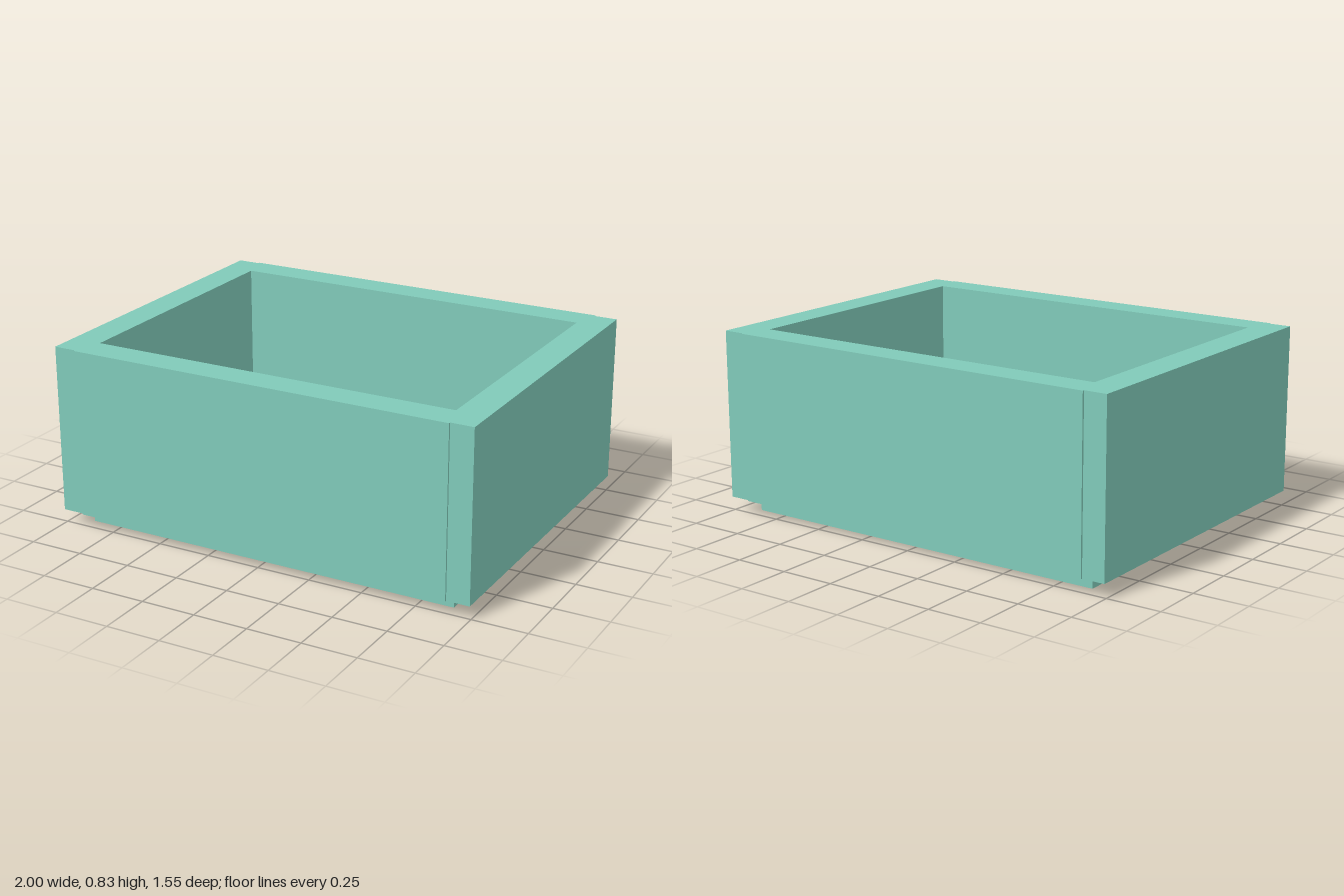
import * as THREE from 'three';

const TOP = 0.835, FLOOR = 0.25, FOOT = 0.065;

// Outline with slightly proud front and back panels between the corner strips
function outline() {
  const q = [[1, 0.765], [0.895, 0.765], [0.895, 0.774]];
  const mirrored = (sx, sy) => q.map(([x, y]) => new THREE.Vector2(x * sx, y * sy));
  return new THREE.Shape([
    ...mirrored(1, 1), ...mirrored(-1, 1).reverse(),
    ...mirrored(-1, -1), ...mirrored(1, -1).reverse(),
  ]);
}

// Upright slab of a plan shape between two heights
function slab(name, shape, y0, y1, material) {
  const geo = new THREE.ExtrudeGeometry(shape, { depth: y1 - y0, bevelEnabled: false });
  geo.rotateX(-Math.PI / 2);
  const mesh = new THREE.Mesh(geo, material);
  mesh.name = name;
  mesh.position.y = y0;
  return mesh;
}

export function createModel() {
  const group = new THREE.Group();
  group.name = 'openBox';
  const teal = new THREE.MeshStandardMaterial({ color: 0x80cab9 });
  teal.name = 'teal';

  // Walls around the rectangular cavity
  const wallShape = outline();
  const x = 0.858, z = 0.633;
  wallShape.holes.push(new THREE.Path([
    new THREE.Vector2(-x, -z), new THREE.Vector2(-x, z),
    new THREE.Vector2(x, z), new THREE.Vector2(x, -z),
  ]));
  group.add(slab('walls', wallShape, FLOOR, TOP, teal));

  // Solid floor below the cavity
  group.add(slab('floor', outline(), FOOT, FLOOR, teal));

  // Recessed foot
  const foot = new THREE.Mesh(new THREE.BoxGeometry(1.79, FOOT, 1.375), teal);
  foot.name = 'foot';
  foot.position.y = FOOT / 2;
  group.add(foot);

  return group;
}
